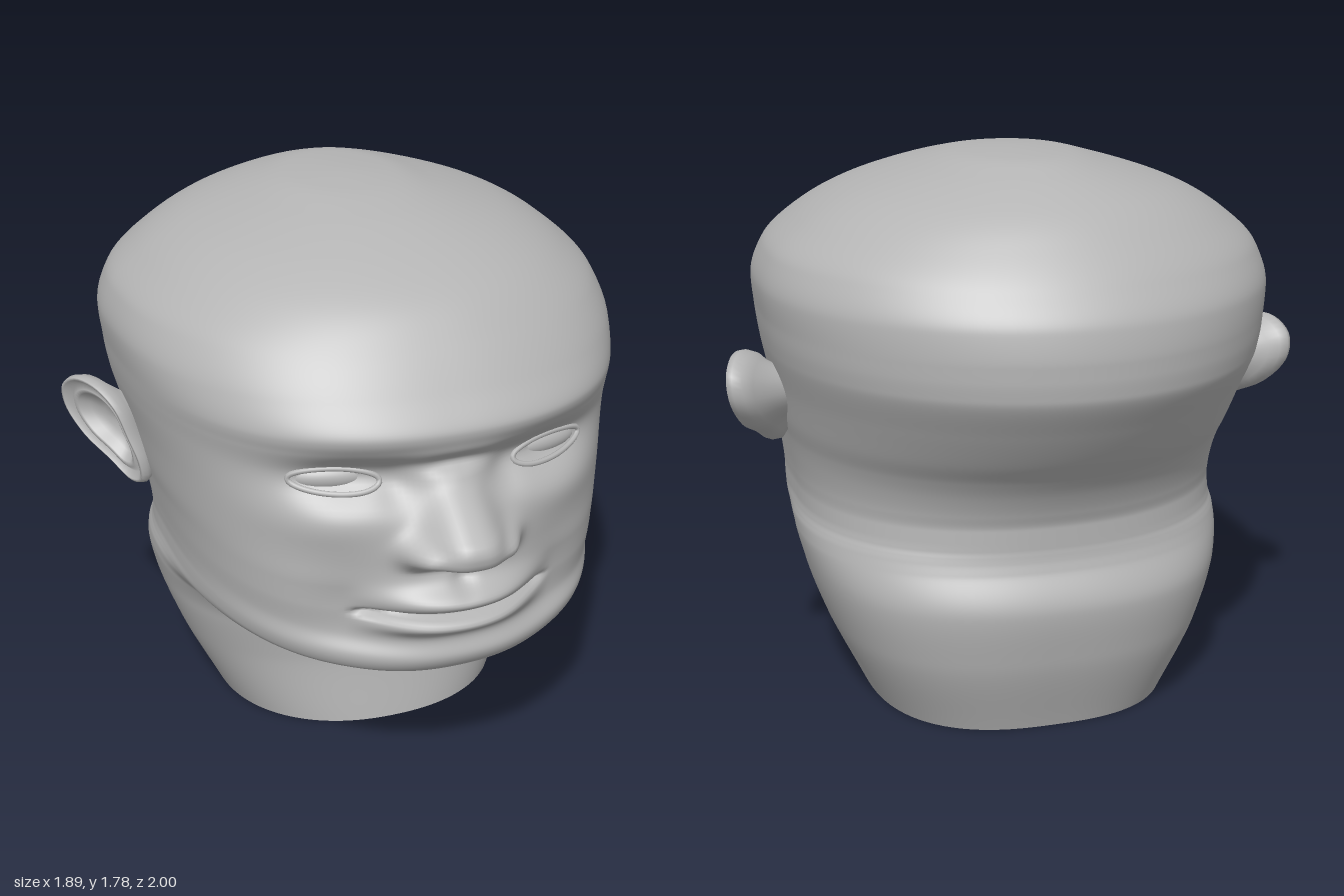
import * as THREE from 'three';

// Skin levels from neck base to crown: [y front, y side and back, z front, z back, half width]
const LEVELS = [
  [0, 0, 0.345, -0.655, 0.49],
  [0.24, 0.25, 0.31, -0.735, 0.61],
  [0.34, 0.42, 0.315, -0.76, 0.67],
  [0.4, 0.54, 0.35, -0.715, 0.698],
  [0.425, 0.575, 0.45, -0.705, 0.7],
  [0.44, 0.595, 0.62, -0.702, 0.697],
  [0.47, 0.615, 0.78, -0.7, 0.693],
  [0.5, 0.64, 0.85, -0.7, 0.69],
  [0.55, 0.68, 0.875, -0.7, 0.69],
  [0.61, 0.73, 0.86, -0.715, 0.695],
  [0.7, 0.795, 0.87, -0.745, 0.705],
  [0.78, 0.855, 0.868, -0.785, 0.716],
  [0.87, 0.925, 0.852, -0.845, 0.733],
  [1.0, 1.04, 0.83, -0.925, 0.755],
  [1.15, 1.165, 0.802, -0.995, 0.785],
  [1.22, 1.225, 0.812, -1, 0.795],
  [1.27, 1.27, 0.822, -1, 0.8],
  [1.37, 1.365, 0.755, -0.985, 0.81],
  [1.48, 1.47, 0.67, -0.92, 0.78],
  [1.58, 1.565, 0.57, -0.835, 0.685],
  [1.66, 1.65, 0.42, -0.735, 0.545],
  [1.735, 1.73, 0.19, -0.565, 0.31],
  [1.768, 1.768, 0, -0.41, 0.16],
  [1.778, 1.778, -0.18, -0.18, 0],
];
const COLUMNS = 160, STEPS = 11;
const { smoothstep, clamp } = THREE.MathUtils;

// Smooth interpolation between levels without overshoot
function levelAt(t) {
  const last = LEVELS.length - 1;
  const i = Math.min(Math.floor(t), last - 1), f = t - i;
  const tangent = (k, c) => {
    if (k === 0) return LEVELS[1][c] - LEVELS[0][c];
    if (k === last) return c < 2 ? 0 : LEVELS[last][c] - LEVELS[last - 1][c];
    const a = LEVELS[k][c] - LEVELS[k - 1][c], b = LEVELS[k + 1][c] - LEVELS[k][c];
    return a * b <= 0 ? 0 : (2 * a * b) / (a + b);
  };
  return LEVELS[i].map((p, c) => {
    const q = LEVELS[i + 1][c], f2 = f * f, f3 = f2 * f;
    return p * (2 * f3 - 3 * f2 + 1) + q * (3 * f2 - 2 * f3)
      + tangent(i, c) * (f3 - 2 * f2 + f) + tangent(i + 1, c) * (f3 - f2);
  });
}

// Closed loops of points joined into a smooth skin
function loft(rows) {
  const n = rows[0].length, index = [];
  for (let i = 0; i < rows.length - 1; i++) {
    for (let j = 0; j < n; j++) {
      const a = i * n + j, b = i * n + ((j + 1) % n), c = b + n, d = a + n;
      index.push(a, b, c, a, c, d);
    }
  }
  const geometry = new THREE.BufferGeometry().setFromPoints(rows.flat());
  geometry.setIndex(index);
  geometry.computeVertexNormals();
  return geometry;
}

const bump = (v, centre, size) => Math.exp(-(((v - centre) / size) ** 2));

// Height of the nose ridge above the face, as [y, height]
const RIDGE = [[0.85, 0], [0.885, 0.1], [0.905, 0.146], [0.945, 0.16], [0.972, 0.154], [1.0, 0.124],
  [1.1, 0.018], [1.15, 0]];
function ridge(y) {
  for (let i = 1; i < RIDGE.length; i++) {
    const [y0, h0] = RIDGE[i - 1], [y1, h1] = RIDGE[i];
    if (y >= y0 && y <= y1) return h0 + ((h1 - h0) * (y - y0)) / (y1 - y0);
  }
  return 0;
}

// Forward push that models nose, lips, eye sockets and cheeks
function faceRelief(x, y) {
  const ax = Math.abs(x);
  const noseWidth = clamp(0.135 - (y - 0.93) * 0.4, 0.075, 0.135);
  let d = ridge(y) * Math.exp(-((ax / noseWidth) ** 3.2));
  // Nose wings, nostrils and the dip at the root
  d += 0.055 * bump(ax, 0.15, 0.045) * bump(y, 0.918, 0.042);
  d -= 0.03 * bump(ax, 0.075, 0.03) * bump(y, 0.878, 0.012);
  d -= 0.03 * bump(ax, 0, 0.12) * bump(y, 1.165, 0.028);
  // Lips, the line between them, the groove above and the fall towards the cheeks
  const lip = Math.max(0, 1 - (ax / 0.34) ** 2) ** 1.4;
  d += lip * (0.065 * bump(y, 0.755, 0.04) + 0.055 * bump(y, 0.67, 0.032));
  d -= 0.042 * bump(y, 0.708, 0.012) * clamp((0.33 - ax) / 0.06, 0, 1);
  d -= 0.02 * bump(ax, 0, 0.03) * bump(y, 0.81, 0.03);
  d -= 0.045 * bump(ax, 0.32, 0.15) * bump(y, 0.72, 0.17);
  // Eye sockets, deepest beside the nose, and cheekbones
  d -= 0.07 * bump(ax, 0.31, 0.18) * bump(y, 1.13, 0.07);
  d -= 0.025 * bump(ax, 0.17, 0.06) * bump(y, 1.1, 0.07);
  d += 0.015 * bump(ax, 0.42, 0.16) * bump(y, 1.0, 0.07);
  return d;
}

function headRows() {
  const rows = [], total = (LEVELS.length - 1) * STEPS;
  for (let i = 0; i <= total; i++) {
    const [yF, yS, zF, zB, w] = levelAt(i / STEPS);
    // Depth of the widest point, and squareness of the front and back halves
    const zC = -0.05 - 0.07 * (1 - smoothstep(yF, 0.35, 0.47)) - 0.13 * smoothstep(yF, 0.6, 1.25);
    const nF = 2.2 + 0.2 * smoothstep(yF, 0.4, 0.5) - 0.3 * smoothstep(yF, 1.3, 1.75);
    const nB = 2.6 - 0.6 * smoothstep(yS, 0.1, 1);
    const row = [];
    for (let j = 0; j < COLUMNS; j++) {
      // Columns are packed closer towards the face
      const u = (j / COLUMNS) * Math.PI * 2, angle = u - 0.5 * Math.sin(u);
      const s = Math.sin(angle), c = Math.cos(angle), n = c > 0 ? nF : nB;
      const r = 1 / (Math.abs(s) ** n + Math.abs(c) ** n) ** (1 / n);
      const x = w * r * s;
      const y = yS + (yF - yS) * Math.max(c, 0) ** 1.5;
      const z = zC + (c > 0 ? zF - zC : zC - zB) * r * c;
      row.push(new THREE.Vector3(x, y, z > 0.25 ? z + faceRelief(x, y) : z));
    }
    rows.push(row);
  }
  return rows;
}

// Ear: one outline shrunk through a rim-and-bowl profile of [scale, outward offset]
const EAR_OUTLINE = [[0.01, 0.855], [0.06, 0.84], [0.14, 0.89], [0.24, 0.95], [0.3, 1.04], [0.29, 1.12],
  [0.22, 1.17], [0.13, 1.165], [0.06, 1.11], [0.025, 1.01], [0, 0.92]];
const EAR_PROFILE = [[0.45, -0.14], [0.6, -0.085], [0.8, -0.052], [0.95, -0.03], [1, 0], [0.97, 0.02], [0.92, 0.022],
  [0.81, 0.0], [0.72, 0.012], [0.64, 0.008], [0.52, -0.022], [0.3, -0.04], [0, -0.045]];
function earGeometry(side) {
  const outline = new THREE.CatmullRomCurve3(
    EAR_OUTLINE.map(([u, y]) => new THREE.Vector3(u, y, 0)), true).getPoints(48).slice(0, -1);
  const rows = EAR_PROFILE.map(([scale, out]) => {
    // The root behind the ear sits further forward than the bowl
    const centre = 0.13 + Math.min(0, out + 0.05) * 0.8;
    const row = outline.map((p) => {
      const u = centre + (p.x - 0.13) * scale, y = 1.02 + (p.y - 1.02) * scale;
      const x = 0.755 + u * 0.53 + (y - 1) * 0.16 + out * 0.88;
      return new THREE.Vector3(side * x, y, -u + out * 0.47);
    });
    return side > 0 ? row : row.reverse();
  });
  return loft(rows);
}

export function createModel() {
  const group = new THREE.Group();
  const clay = new THREE.MeshStandardMaterial({ color: 0xb4b4b4 });
  clay.name = 'greyClay';
  const add = (name, geometry) => {
    const mesh = new THREE.Mesh(geometry, clay);
    mesh.name = name;
    group.add(mesh);
    return mesh;
  };

  // Head and neck in one skin, with a flat base
  const rows = headRows();
  const head = add('headAndNeck', loft(rows));
  add('neckBase', loft([rows[0].map(() => new THREE.Vector3(0, 0, -0.12)), rows[0]]));

  // Finds the face surface straight behind a point of the front
  const ray = new THREE.Raycaster();
  const onFace = (x, y) => {
    ray.set(new THREE.Vector3(x, y, 3), new THREE.Vector3(0, 0, -1));
    return ray.intersectObject(head)[0].point;
  };

  for (const side of [1, -1]) {
    const label = side > 0 ? 'left' : 'right';
    add(label + 'Ear', earGeometry(side));

    // Eyeball set in the socket, ringed by the lids
    const eye = add(label + 'Eye', new THREE.SphereGeometry(1, 32, 20));
    eye.position.copy(onFace(side * 0.345, 1.12));
    eye.position.z -= 0.035;
    eye.scale.set(0.13, 0.045, 0.05);
    eye.rotation.y = side * 0.25;

    const lid = [];
    for (let i = 0; i < 20; i++) {
      const a = (i / 20) * Math.PI * 2;
      lid.push(onFace(side * (0.345 + 0.13 * Math.cos(a)), 1.12 + 0.037 * Math.sin(a) + 0.006 * Math.cos(a)));
    }
    add(label + 'Eyelids', new THREE.TubeGeometry(new THREE.CatmullRomCurve3(lid, true), 60, 0.009, 8, true));
  }
  return group;
}
